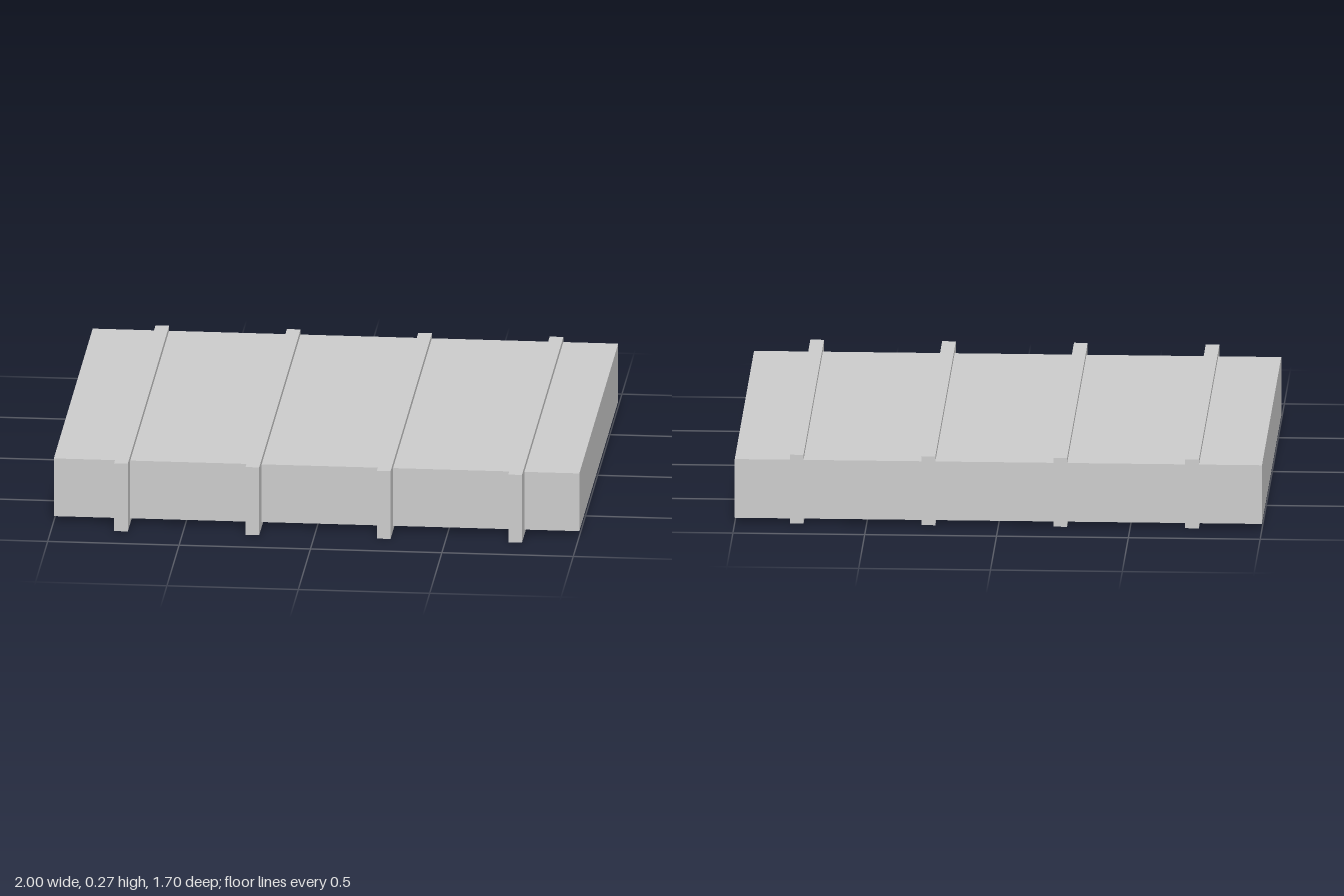
import * as THREE from 'three';

export function createModel() {
  const model = new THREE.Group();
  model.name = 'ribbedSlab';
  const material = new THREE.MeshStandardMaterial({ color: 0xcccccc, flatShading: true });

  // Box given by its lowest and highest corners
  function addBox(name, [x0, y0, z0], [x1, y1, z1]) {
    const mesh = new THREE.Mesh(new THREE.BoxGeometry(x1 - x0, y1 - y0, z1 - z0), material);
    mesh.position.set((x0 + x1) / 2, (y0 + y1) / 2, (z0 + z1) / 2);
    mesh.name = name;
    model.add(mesh);
  }

  // Main slab
  addBox('slab', [-1, 0.02, -0.849], [1, 0.25, 0.75]);

  // Four evenly spaced ribs, proud above and below and jutting out in front
  const ribWidth = 0.052;
  for (let i = 0; i < 4; i++) {
    const x = -0.735 + i * 0.5;
    addBox(`rib${i + 1}`, [x - ribWidth / 2, 0, -0.85], [x + ribWidth / 2, 0.27, 0.85]);
  }
  return model;
}
